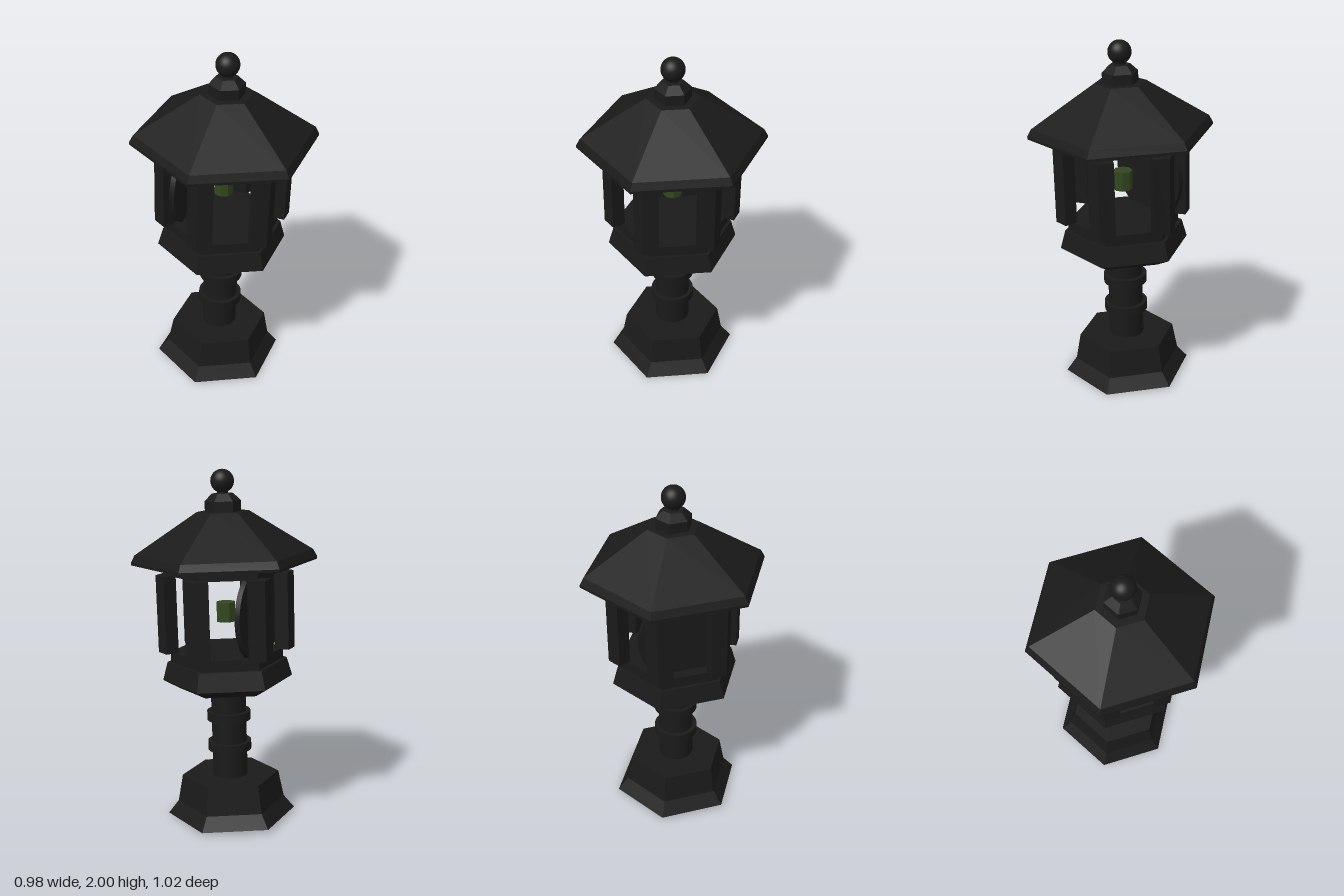
import * as THREE from 'three';

const iron = new THREE.MeshStandardMaterial({ color: 0x1a1a1a, flatShading: true });
const smoothIron = new THREE.MeshStandardMaterial({ color: 0x1a1a1a });
const lampGreen = new THREE.MeshStandardMaterial({ color: 0x33471f, flatShading: true });

const TWIST = THREE.MathUtils.degToRad(-10); // turn of every hexagonal part
const SIDE = Math.PI / 3;

export function createModel() {
  const model = new THREE.Group();
  model.name = 'gardenLantern';
  const lantern = new THREE.Group();
  lantern.name = 'lantern';
  model.add(lantern);

  function add(name, geometry, material, y = 0) {
    const mesh = new THREE.Mesh(geometry, material);
    mesh.name = name;
    mesh.position.y = y;
    lantern.add(mesh);
    return mesh;
  }

  // closed six-sided solid from [radius, height] pairs, bottom to top
  function hexSolid(name, rings) {
    const profile = [[0, rings[0][1]], ...rings, [0, rings[rings.length - 1][1]]];
    const points = profile.map(([r, y]) => new THREE.Vector2(r, y));
    return add(name, new THREE.LatheGeometry(points, 6, TWIST), iron);
  }

  const drum = (name, r, y0, y1) =>
    add(name, new THREE.CylinderGeometry(r, r, y1 - y0, 32), smoothIron, (y0 + y1) / 2);

  // foot and pole
  hexSolid('base', [[0.37, 0], [0.31, 0.075], [0.28, 0.232]]);
  drum('pole', 0.1, 0.22, 0.78);
  drum('lowerPoleRing', 0.125, 0.385, 0.435);
  drum('upperPoleRing', 0.125, 0.565, 0.615);

  // lamp house floor and ceiling
  hexSolid('platform', [[0.28, 0.76], [0.37, 0.81], [0.34, 0.915]]);
  hexSolid('lampFloor', [[0.32, 0.91], [0.32, 0.975]]);
  hexSolid('lampCeiling', [[0.32, 1.41], [0.32, 1.48]]);

  // corner posts: the outer point follows the hexagon, the flanks taper inward
  const outline = [[0, 0.387], [0.076, 0.343], [0.04, 0.275], [-0.04, 0.275], [-0.076, 0.343]];
  const section = new THREE.Shape(outline.map(([x, r]) => new THREE.Vector2(x, -r)));
  const postGeometry = new THREE.ExtrudeGeometry(section, { depth: 0.44, bevelEnabled: false });
  postGeometry.rotateX(-Math.PI / 2);
  for (let i = 0; i < 6; i++) {
    add('cornerPost', postGeometry, iron, 0.975).rotation.y = TWIST + i * SIDE;
  }

  // round plate behind the lamp, on one side of the house
  const plateGeometry = new THREE.CylinderGeometry(0.264, 0.264, 0.03, 48);
  plateGeometry.rotateX(Math.PI / 2);
  const plate = add('backPlate', plateGeometry, smoothIron, 1.19);
  plate.rotation.y = TWIST + 3.5 * SIDE;
  plate.position.x = 0.2 * Math.sin(plate.rotation.y);
  plate.position.z = 0.2 * Math.cos(plate.rotation.y);

  // lamp
  add('lamp', new THREE.CylinderGeometry(0.055, 0.055, 0.11, 8, 1, false, Math.PI / 8), lampGreen, 1.195);

  // roof and finial
  hexSolid('roof', [[0.52, 1.475], [0.52, 1.49], [0.498, 1.53], [0.145, 1.757]]);
  hexSolid('finialBase', [[0.1, 1.75], [0.1, 1.815], [0.058, 1.855]]);
  drum('finialNeck', 0.03, 1.85, 1.88);
  add('finialBall', new THREE.SphereGeometry(0.065, 32, 20), smoothIron, 1.922);

  // the whole lantern leans slightly
  lantern.rotation.set(0.031, 0, -0.011);
  lantern.position.set(-0.02, 0.012, -0.045);
  return model;
}
